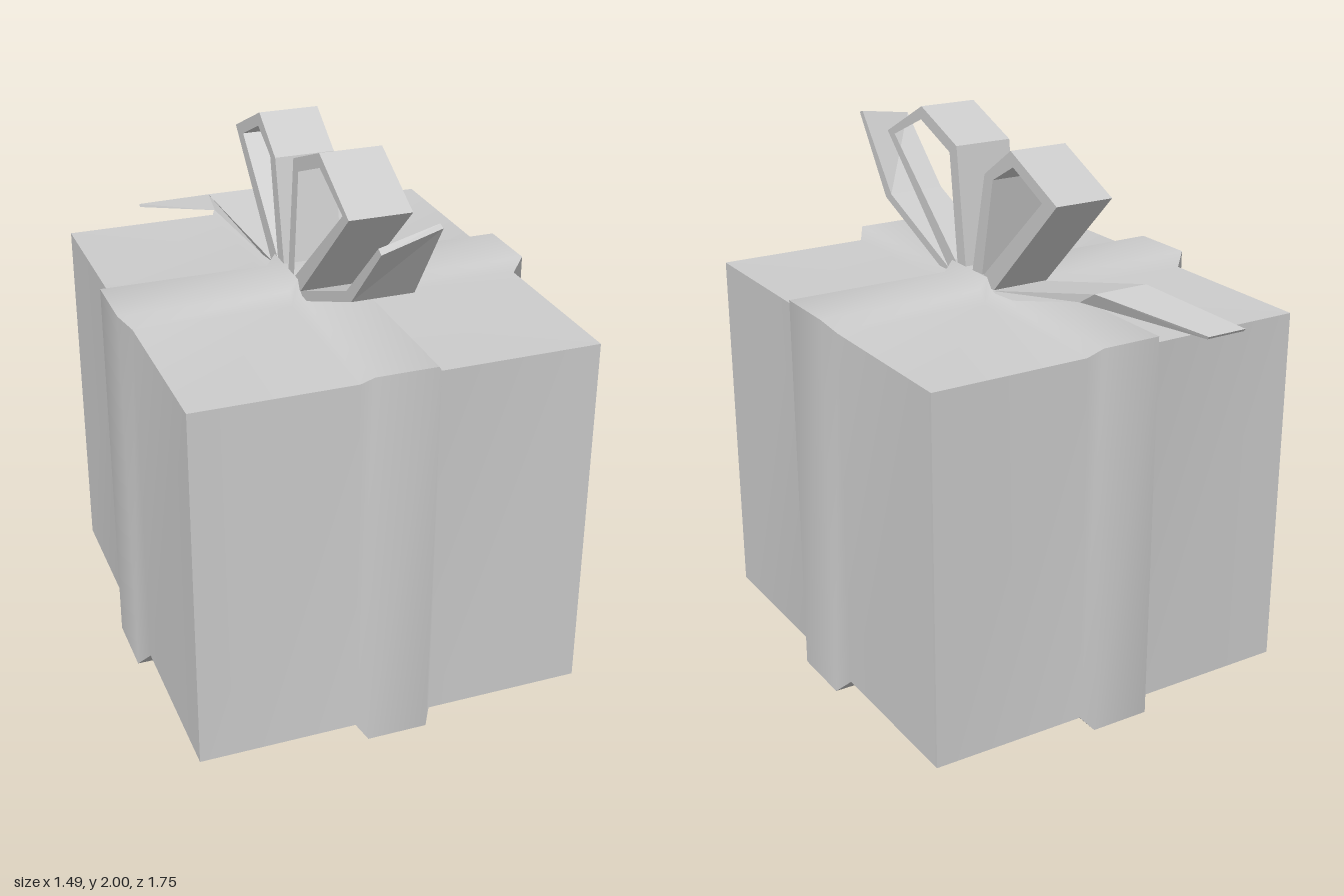
import * as THREE from 'three';

const smooth = new THREE.MeshStandardMaterial({ color: 0xcccccc });
const flat = new THREE.MeshStandardMaterial({ color: 0xcccccc, flatShading: true });
const X0 = -0.11, X1 = 0.105; // sides of the bow band

function add(group, name, geometry, material) {
  const mesh = new THREE.Mesh(geometry, material);
  mesh.name = name;
  group.add(mesh);
}

// Box whose grid lines are moved so that two crossing ribbons stand out.
function wrappedBox() {
  const xs = [-0.7, -0.14, -0.11, 0.105, 0.135, 0.7];
  const zs = [-0.75, -0.13, -0.095, 0.145, 0.17, 0.8];
  const g = new THREE.BoxGeometry(5, 1, 5, 5, 1, 5);
  const p = g.attributes.position;
  const raised = i => (i === 2 || i === 3 ? 1 : 0);
  const outward = i => (i === 0 ? -1 : i === 5 ? 1 : 0);
  for (let n = 0; n < p.count; n++) {
    const i = Math.round(p.getX(n) + 2.5), k = Math.round(p.getZ(n) + 2.5);
    const bx = raised(i), bz = raised(k);
    const y = p.getY(n) > 0 ? 1.4 + 0.04 * bx + 0.045 * bz : 0.08 - 0.035 * bx - 0.042 * bz;
    p.setXYZ(n, xs[i] + outward(i) * 0.043 * bz, Math.max(y, 0), zs[k] + outward(k) * 0.045 * bx);
  }
  g.computeVertexNormals();
  return g;
}

// Bow loop: a closed band in the z-y plane, extruded across x.
function bowLoop(outer, inner) {
  const points = list => list.map(([z, y]) => new THREE.Vector2(-z, y));
  const shape = new THREE.Shape(points(outer));
  shape.holes.push(new THREE.Path(points(inner)));
  const g = new THREE.ExtrudeGeometry(shape, { depth: X1 - X0, bevelEnabled: false });
  return g.rotateY(Math.PI / 2).translate(X0, 0, 0);
}

// Ribbon tail: joins four-cornered sections and closes both ends.
function ribbonTail(sections) {
  const index = [];
  const quad = (a, b, c, d) => index.push(a, b, c, a, c, d);
  for (let s = 0; s < sections.length - 1; s++) {
    for (let k = 0; k < 4; k++) {
      const a = s * 4 + k, b = s * 4 + (k + 1) % 4;
      quad(a, b, b + 4, a + 4);
    }
  }
  const e = (sections.length - 1) * 4;
  quad(3, 2, 1, 0);
  quad(e, e + 1, e + 2, e + 3);
  const g = new THREE.BufferGeometry();
  g.setAttribute('position', new THREE.Float32BufferAttribute(sections.flat(2), 3));
  g.setIndex(index);
  const out = g.toNonIndexed();
  out.computeVertexNormals();
  return out;
}

export function createModel() {
  const group = new THREE.Group();
  add(group, 'wrappedBox', wrappedBox(), smooth);

  const bow = new THREE.Group();
  bow.name = 'bow';
  group.add(bow);
  add(bow, 'frontLoop', bowLoop(
    [[0.17, 1.45], [0.61, 1.865], [0.35, 2], [0.106, 1.904], [0.045, 1.45]],
    [[0.105, 1.475], [0.557, 1.862], [0.355, 1.952], [0.154, 1.873]]), flat);
  add(bow, 'backLoop', bowLoop(
    [[-0.14, 1.45], [-0.52, 1.83], [-0.245, 1.957], [-0.08, 1.845], [0.01, 1.45]],
    [[-0.06, 1.475], [-0.435, 1.823], [-0.26, 1.905], [-0.133, 1.835]]), flat);

  // Front tail rises to a slightly slanted tip
  add(bow, 'frontTail', ribbonTail([
    [[X1, 1.45, 0.17], [X0, 1.45, 0.17], [X0, 1.43, 0.21], [X1, 1.43, 0.21]],
    [[X1, 1.625, 0.595], [X0, 1.625, 0.595], [X0, 1.605, 0.637], [X1, 1.605, 0.637]],
    [[X1, 1.902, 0.81], [X0, 1.866, 0.85], [X0, 1.853, 0.873], [X1, 1.895, 0.835]],
  ]), flat);

  // Back tail swerves sideways and drops to a thin tip
  add(bow, 'backTail', ribbonTail([
    [[X0, 1.445, -0.13], [X1, 1.445, -0.13], [X1, 1.43, -0.2], [X0, 1.43, -0.2]],
    [[-0.2, 1.545, -0.597], [0.005, 1.545, -0.597], [0.02, 1.503, -0.535], [-0.195, 1.503, -0.535]],
    [[-0.4, 1.435, -0.873], [-0.25, 1.435, -0.873], [-0.25, 1.425, -0.865], [-0.4, 1.425, -0.865]],
  ]), flat);
  return group;
}
